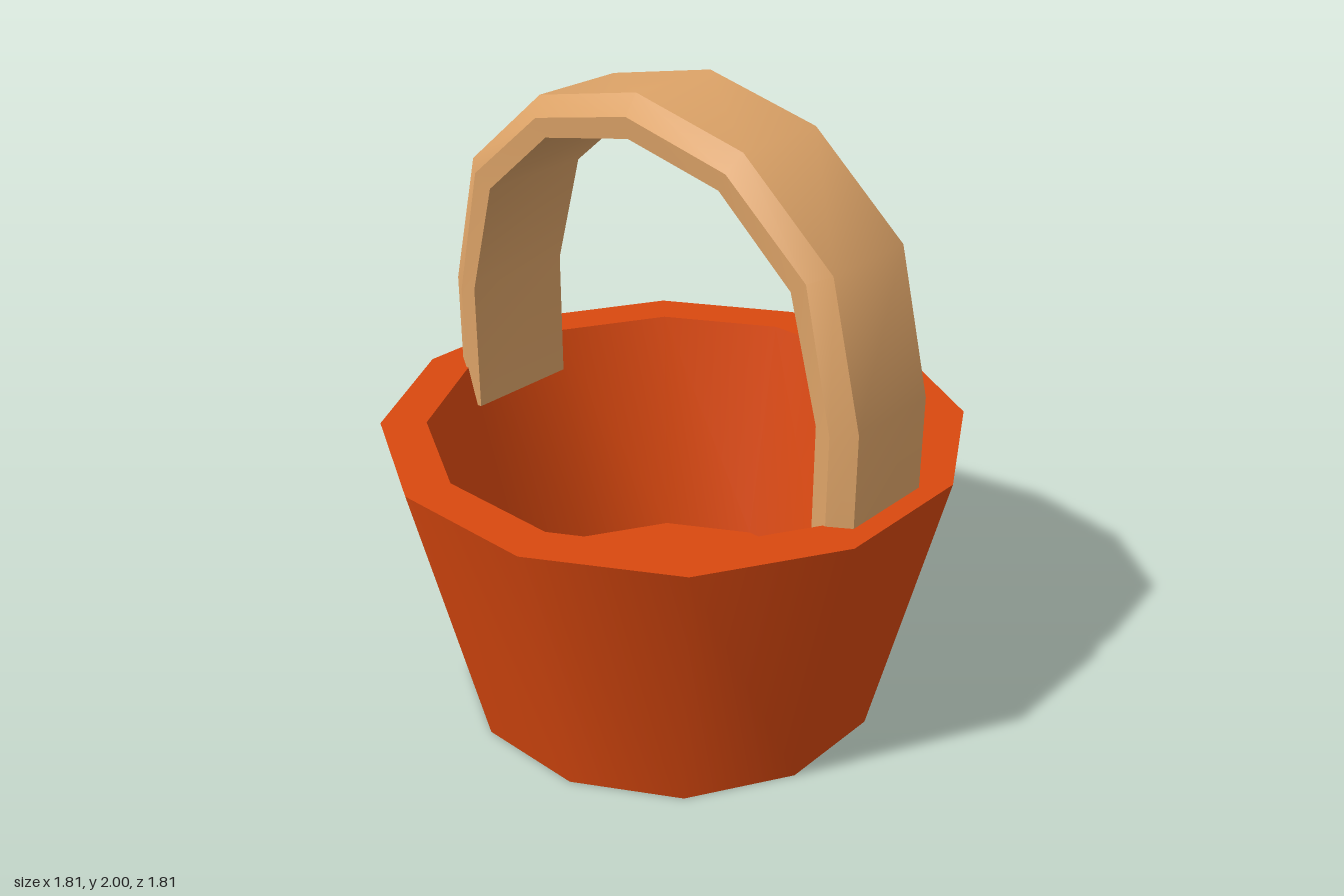
import * as THREE from 'three';
import { toCreasedNormals } from 'three/addons/utils/BufferGeometryUtils.js';

// Twelve-sided tapered bucket with a thick wall and a raised inner floor
function createBucket() {
  const profile = [[0, 0], [0.685, 0], [0.907, 0.93], [0.765, 0.93], [0.59, 0.19], [0, 0.19]]
    .map(([r, y]) => new THREE.Vector2(r, y));
  const geometry = toCreasedNormals(new THREE.LatheGeometry(profile, 12), 0.7);
  const bucket = new THREE.Mesh(geometry, new THREE.MeshStandardMaterial({ color: 0xd9480f }));
  bucket.name = 'bucket';
  return bucket;
}

// Right half of an arch line (leg foot to crown), mirrored into a full arch
function arch(points) {
  const left = points.map(([x, y]) => [-x, y]);
  return [...left, ...points.slice(0, -1).reverse()];
}

// Arched handle: a six-cornered section swept along three nested arch lines
function createHandle() {
  const outer = arch([[0.813, 0.8], [0.813, 1.22], [0.704, 1.65], [0.39, 1.915], [0, 2]]);
  const middle = arch([[0.747, 0.8], [0.747, 1.21], [0.648, 1.625], [0.366, 1.86], [0, 1.94]]);
  const inner = arch([[0.694, 0.8], [0.694, 1.22], [0.592, 1.585], [0.335, 1.805], [0, 1.875]]);
  const corners = [
    [outer, 0.155], [middle, 0.198], [inner, 0.19],
    [inner, -0.19], [middle, -0.198], [outer, -0.155],
  ];
  const positions = [];
  const index = [];
  const point = ([line, z], i) => positions.push(...line[i], z);

  // One strip per side, so it is smooth along the arch and sharp across it
  corners.forEach((a, k) => {
    const b = corners[(k + 1) % corners.length];
    const base = positions.length / 3;
    for (let i = 0; i < outer.length; i++) {
      point(a, i);
      point(b, i);
      if (i === 0) continue;
      const p = base + 2 * (i - 1);
      index.push(p, p + 1, p + 3, p, p + 3, p + 2);
    }
  });

  // Flat feet closing both legs
  for (const end of [0, outer.length - 1]) {
    const base = positions.length / 3;
    corners.forEach((c) => point(c, end));
    for (let k = 1; k < corners.length - 1; k++) {
      if (end === 0) index.push(base, base + k + 1, base + k);
      else index.push(base, base + k, base + k + 1);
    }
  }

  const geometry = new THREE.BufferGeometry();
  geometry.setAttribute('position', new THREE.Float32BufferAttribute(positions, 3));
  geometry.setIndex(index);
  geometry.computeVertexNormals();
  const handle = new THREE.Mesh(geometry, new THREE.MeshStandardMaterial({ color: 0xdea468 }));
  handle.name = 'handle';
  handle.rotation.y = -Math.PI / 12;
  return handle;
}

export function createModel() {
  const model = new THREE.Group();
  model.name = 'basket';
  model.add(createBucket(), createHandle());
  return model;
}
